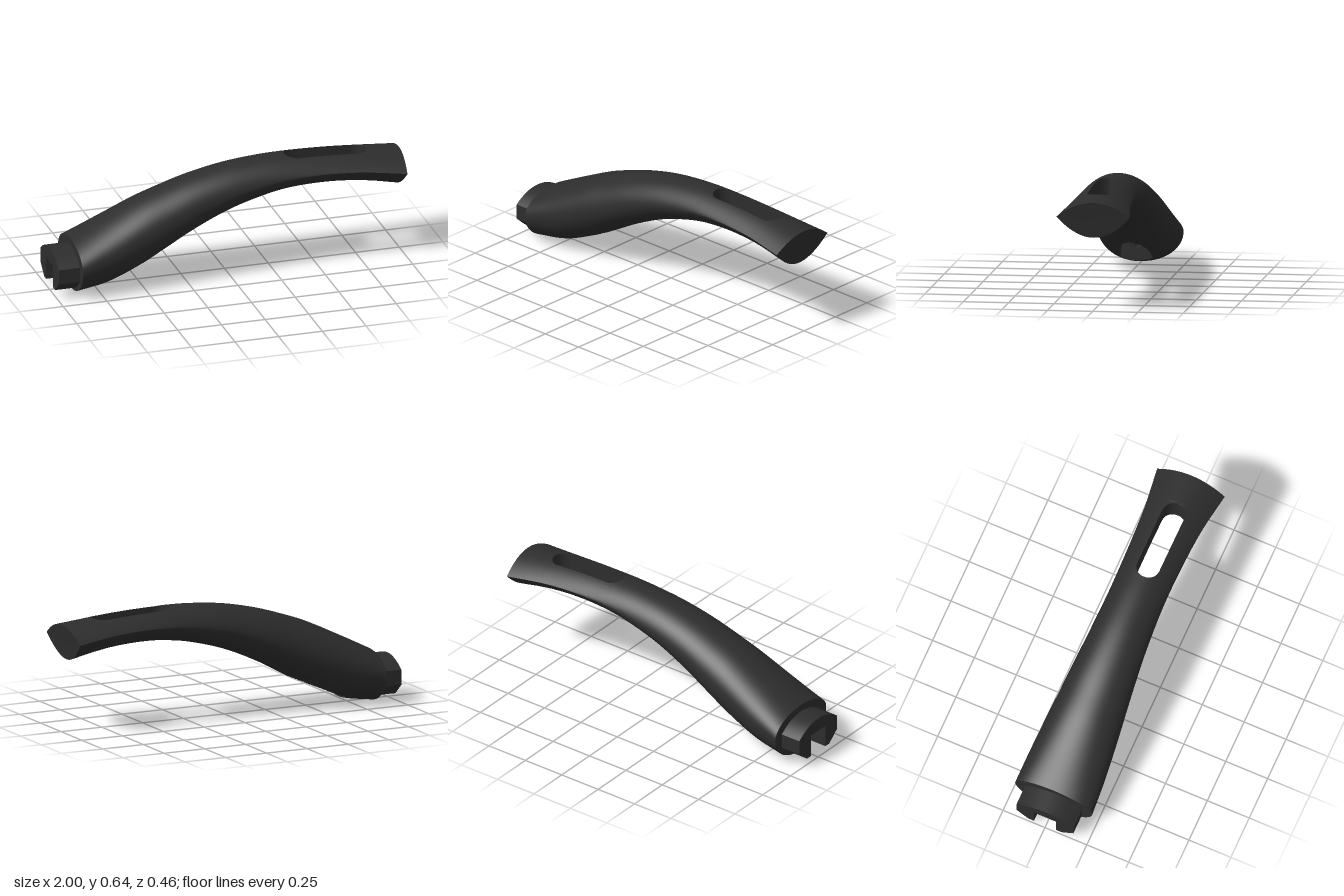
import * as THREE from 'three';
import { toCreasedNormals } from 'three/addons/utils/BufferGeometryUtils.js';

// Grip profile along its length: x, top, bottom, half width, height share of widest line, roundness exponent
const PROFILE = [
  [-0.88, 0.29, 0.003, 0.23, 0.58, 0.5],
  [-0.7, 0.38, 0.033, 0.222, 0.54, 0.5],
  [-0.5, 0.475, 0.115, 0.207, 0.5, 0.5],
  [-0.38, 0.52, 0.182, 0.196, 0.48, 0.5],
  [-0.2, 0.577, 0.28, 0.18, 0.48, 0.52],
  [0, 0.62, 0.368, 0.165, 0.48, 0.57],
  [0.2, 0.641, 0.427, 0.156, 0.48, 0.65],
  [0.35, 0.645, 0.453, 0.155, 0.5, 0.75],
  [0.55, 0.64, 0.46, 0.16, 0.53, 0.88],
  [0.75, 0.626, 0.445, 0.172, 0.56, 0.95],
  [0.985, 0.601, 0.405, 0.202, 0.59, 1],
];
const START = -0.88, POCKET_X = -0.7, POCKET_W = 0.088, POCKET_Y = 0.087;
const SLOT_A = 0.34, SLOT_B = 0.81, SLOT_R = 0.065, HOLE_Y = 0.12;

// Smooth (Hermite) lookup of one profile column
function profile(x, col) {
  const P = PROFILE, n = P.length - 1;
  let i = 0;
  while (i < n - 1 && x > P[i + 1][0]) i++;
  const slope = (k) => {
    const a = P[Math.max(k - 1, 0)], b = P[Math.min(k + 1, n)];
    return (b[col] - a[col]) / (b[0] - a[0]);
  };
  const h = P[i + 1][0] - P[i][0], t = (x - P[i][0]) / h, t2 = t * t, t3 = t2 * t;
  return (2 * t3 - 3 * t2 + 1) * P[i][col] + (t3 - 2 * t2 + t) * h * slope(i)
    + (3 * t2 - 2 * t3) * P[i + 1][col] + (t3 - t2) * h * slope(i + 1);
}

// Height of the grip skin at (x, z): side 1 = upper, 2 = lower
function skinY(x, z, side) {
  const bottom = profile(x, 2);
  const mid = bottom + (profile(x, 1) - bottom) * profile(x, 4);
  const t = Math.min(Math.abs(z) / profile(x, 3), 1);
  return mid + (profile(x, side) - mid) * Math.pow(1 - t * t, profile(x, 5));
}

const archY = (z) => POCKET_Y + Math.sqrt(Math.max(POCKET_W ** 2 - z * z, 0));

// Half width of the hanging slot at x
function slotHalf(x) {
  if (x <= SLOT_A + 1e-6 || x >= SLOT_B - 1e-6) return 0;
  const d = Math.max(SLOT_A + SLOT_R - x, x - (SLOT_B - SLOT_R), 0);
  return Math.sqrt(Math.max(SLOT_R ** 2 - d * d, 0));
}

// Half cross-section from slot edge over the top, round the side and back underneath
function halfSection(x, pocket) {
  const w = profile(x, 3), s = slotHalf(x), pts = [], N = 16, M = 12;
  const add = (z, y) => {
    const k = THREE.MathUtils.smoothstep(x, 0.83, 0.985);
    pts.push(new THREE.Vector3(x + 0.15 * k * (y - 0.52), y, z));
  };
  for (let j = 0; j <= N; j++) {
    const z = s + (w - s) * Math.sin((j / N) * Math.PI / 2);
    add(z, skinY(x, z, 1));
  }
  for (let j = 1; j <= N; j++) {
    const z = POCKET_W + (w - POCKET_W) * Math.cos((j / N) * Math.PI / 2);
    add(z, skinY(x, z, 2));
  }
  for (let j = 0; j <= M; j++) {
    const z = s + (POCKET_W - s) * Math.cos((j / M) * Math.PI / 2);
    const y = skinY(x, z, 2);
    add(z, pocket ? Math.max(y, archY(z)) : y);
  }
  return { pts, s };
}

function gripGeometry() {
  const pos = [];
  const ab = new THREE.Vector3(), ac = new THREE.Vector3();
  // Adds a triangle and its mirror image
  const tri = (a, b, c) => {
    if (ab.subVectors(b, a).cross(ac.subVectors(c, a)).length() < 1e-10) return;
    for (const p of [a, b, c]) pos.push(p.x, p.y, p.z);
    for (const p of [a, c, b]) pos.push(p.x, p.y, -p.z);
  };
  const loft = (xs, pocket) => {
    const rows = xs.map((x) => halfSection(x, pocket));
    for (let i = 0; i < rows.length - 1; i++) {
      const A = rows[i], B = rows[i + 1], n = A.pts.length;
      for (let j = 0; j < n; j++) {
        if (j === n - 1 && A.s === 0 && B.s === 0) continue; // slot wall only where there is a slot
        const k = (j + 1) % n;
        tri(A.pts[j], A.pts[k], B.pts[j]);
        tri(A.pts[k], B.pts[k], B.pts[j]);
      }
    }
    return rows[rows.length - 1].pts;
  };
  const span = (a, b, n) => Array.from({ length: n }, (_, i) => a + (b - a) * (i + 1) / n);
  const round = Array.from({ length: 8 }, (_, i) => SLOT_R * (1 - Math.cos(((i + 1) / 8) * Math.PI / 2)));

  loft([START, ...span(START, POCKET_X, 5)], false);
  const end = loft([
    POCKET_X, ...span(POCKET_X, -0.36, 24), ...span(-0.36, SLOT_A, 20),
    ...round.map((d) => SLOT_A + d),
    ...span(SLOT_A + SLOT_R, SLOT_B - SLOT_R, 10),
    ...round.map((d) => SLOT_B - d).reverse().slice(1), SLOT_B,
    ...span(SLOT_B, 0.985, 8),
  ], true);

  // Slanted lens-shaped end face
  const centre = new THREE.Vector3(0.982, 0.52, 0);
  for (let j = 0; j < end.length - 1; j++) tri(centre, end[j], end[j + 1]);

  const geo = new THREE.BufferGeometry();
  geo.setAttribute('position', new THREE.Float32BufferAttribute(pos, 3));
  return toCreasedNormals(geo, 0.6);
}

// Flat face in the z-y plane with a round hole
function holedFace(points, radius) {
  const shape = new THREE.Shape(points);
  shape.holes.push(new THREE.Path().absarc(0, HOLE_Y, radius, 0, Math.PI * 2, true));
  return new THREE.ShapeGeometry(shape, 16);
}

export function createModel() {
  const model = new THREE.Group();
  model.name = 'panHandle';
  const black = new THREE.MeshStandardMaterial({ color: 0x2d2d2d, side: THREE.DoubleSide });
  black.name = 'black plastic';
  const add = (name, geo, x = 0) => {
    const mesh = new THREE.Mesh(geo, black);
    mesh.name = name;
    mesh.position.x = x;
    model.add(mesh);
  };

  add('grip', gripGeometry());

  // Flat shoulder behind the tang
  const half = halfSection(START, false).pts.filter((p, i, a) => !i || p.distanceTo(a[i - 1]) > 1e-5);
  const outline = half.map((p) => new THREE.Vector2(p.z, p.y));
  const mirrored = outline.slice(1, -1).reverse().map((p) => new THREE.Vector2(-p.x, p.y));
  add('shoulder', holedFace([...outline, ...mirrored], 0.02).rotateY(-Math.PI / 2), START);

  // Back wall of the screw pocket
  const wall = [];
  for (let i = 0; i <= 16; i++) {
    const z = POCKET_W * (i / 8 - 1);
    wall.push(new THREE.Vector2(z, skinY(POCKET_X, z, 2)));
  }
  for (let i = 0; i <= 24; i++) {
    const a = (i / 24) * Math.PI;
    wall.push(new THREE.Vector2(POCKET_W * Math.cos(a), POCKET_Y + POCKET_W * Math.sin(a)));
  }
  add('pocketWall', holedFace(wall, 0.034).rotateY(Math.PI / 2), POCKET_X);

  // Countersunk screw hole
  const bore = [[0.02, START - POCKET_X], [0.02, -0.012], [0.034, -0.012], [0.034, 0]];
  const hole = new THREE.LatheGeometry(bore.map((p) => new THREE.Vector2(...p)), 32);
  add('screwHole', toCreasedNormals(hole.rotateZ(-Math.PI / 2).translate(0, HOLE_Y, 0), 0.6), POCKET_X);

  // Tang with arched top, chamfered feet and a notch open at the bottom
  const tang = new THREE.Shape();
  tang.moveTo(0.065, 0.04);
  tang.lineTo(0.1, 0.04);
  tang.lineTo(0.17, 0.1);
  tang.lineTo(0.17, 0.185);
  tang.quadraticCurveTo(0.09, 0.25, 0, 0.25);
  tang.quadraticCurveTo(-0.09, 0.25, -0.17, 0.185);
  tang.lineTo(-0.17, 0.1);
  tang.lineTo(-0.1, 0.04);
  tang.lineTo(-0.065, 0.04);
  tang.lineTo(-0.065, 0.17);
  tang.lineTo(0.065, 0.17);
  const tangGeo = new THREE.ExtrudeGeometry(tang, { depth: 0.12, bevelEnabled: false, curveSegments: 12 });
  add('tang', toCreasedNormals(tangGeo.rotateY(-Math.PI / 2), 0.5), START);

  return model;
}
